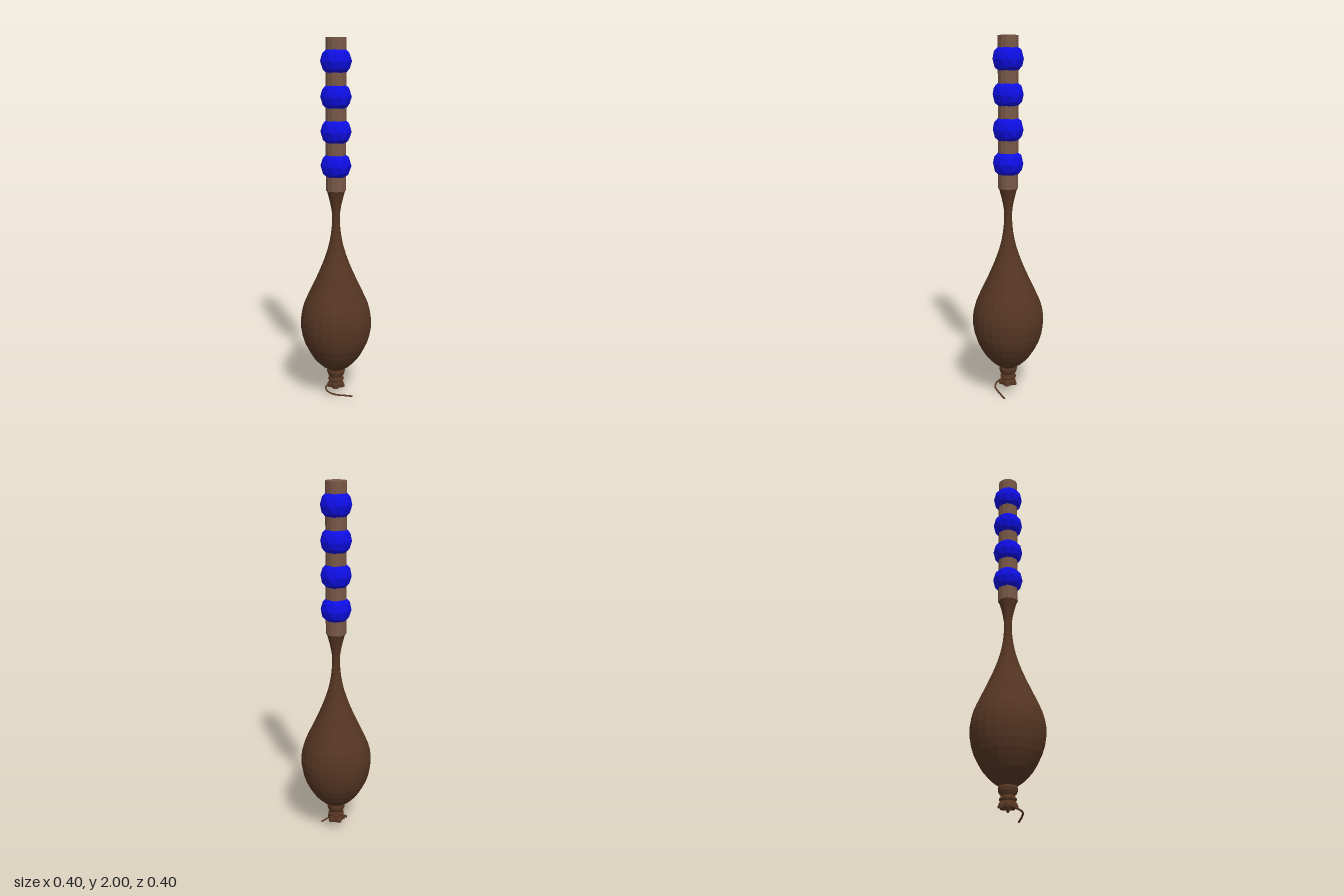
import * as THREE from 'three';

const mat = (name, color) => {
  const m = new THREE.MeshStandardMaterial({ color, flatShading: true });
  m.name = name;
  return m;
};

export function createModel() {
  const group = new THREE.Group();
  const leather = mat('dark leather', 0x553522);
  const wood = mat('light wood', 0x795847);
  const blue = mat('blue bead', 0x0e0ee4);
  const leatherOpen = mat('dark leather', 0x553522);
  leatherOpen.side = THREE.DoubleSide;

  const add = (name, geo, m, y = 0) => {
    const mesh = new THREE.Mesh(geo, m);
    mesh.name = name;
    mesh.position.y = y;
    group.add(mesh);
    return mesh;
  };
  const vecs = pts => pts.map(p => new THREE.Vector2(...p));

  // Swollen pouch narrowing to a slim neck, then widening to meet the handle
  const profile = new THREE.SplineCurve(vecs([
    [0.045, 0.165], [0.085, 0.193], [0.135, 0.25], [0.182, 0.345], [0.199, 0.45],
    [0.184, 0.54], [0.15, 0.62], [0.108, 0.71], [0.07, 0.8], [0.041, 0.89],
    [0.025, 0.98], [0.022, 1.07], [0.034, 1.14], [0.05, 1.2],
  ])).getPoints(28);
  add('pouch', new THREE.LatheGeometry(profile, 24), leather);

  // Handle
  add('handle', new THREE.CylinderGeometry(0.055, 0.055, 0.8, 12), wood, 1.6);

  // Faceted beads threaded on the handle, one vertex pointing up
  const beadGeo = new THREE.IcosahedronGeometry(0.083, 1);
  beadGeo.rotateZ(-Math.atan(2 / (1 + Math.sqrt(5))));
  for (let i = 0; i < 4; i++) add('bead', beadGeo, blue, 1.335 + i * 0.182);

  // Rounded collar below the pouch
  add('collar', new THREE.LatheGeometry(vecs([
    [0.03, 0.118], [0.043, 0.124], [0.05, 0.14], [0.051, 0.155], [0.045, 0.172],
  ]), 16), leatherOpen);

  // Gathered end that flares into folds
  const folds = new THREE.LatheGeometry(vecs([
    [0.004, 0.035], [0.016, 0.06], [0.046, 0.056], [0.045, 0.072], [0.036, 0.09],
    [0.038, 0.105], [0.034, 0.122],
  ]), 30);
  const p = folds.attributes.position;
  for (let i = 0; i < p.count; i++) {
    const x = p.getX(i), y = p.getY(i), z = p.getZ(i);
    const flare = THREE.MathUtils.clamp((0.122 - y) / 0.06, 0, 1);
    const s = 1 + 0.17 * flare * Math.cos(5 * Math.atan2(z, x));
    p.setX(i, x * s);
    p.setZ(i, z * s);
  }
  add('gatheredEnd', folds, leatherOpen);

  // Thong tied around the gathered end
  const tie = new THREE.TorusGeometry(0.038, 0.008, 6, 16);
  tie.rotateX(Math.PI / 2);
  add('tie', tie, leather, 0.1);

  // Loose end of the thong curling forward
  const curl = new THREE.CatmullRomCurve3([
    [-0.025, 0.075, 0.02], [-0.045, 0.056, 0.045], [-0.02, 0.044, 0.07],
    [0.025, 0.034, 0.07], [0.065, 0.022, 0.04], [0.1, 0.005, 0],
  ].map(a => new THREE.Vector3(...a)));
  add('looseThong', new THREE.TubeGeometry(curl, 24, 0.005, 6), leatherOpen);

  return group;
}
